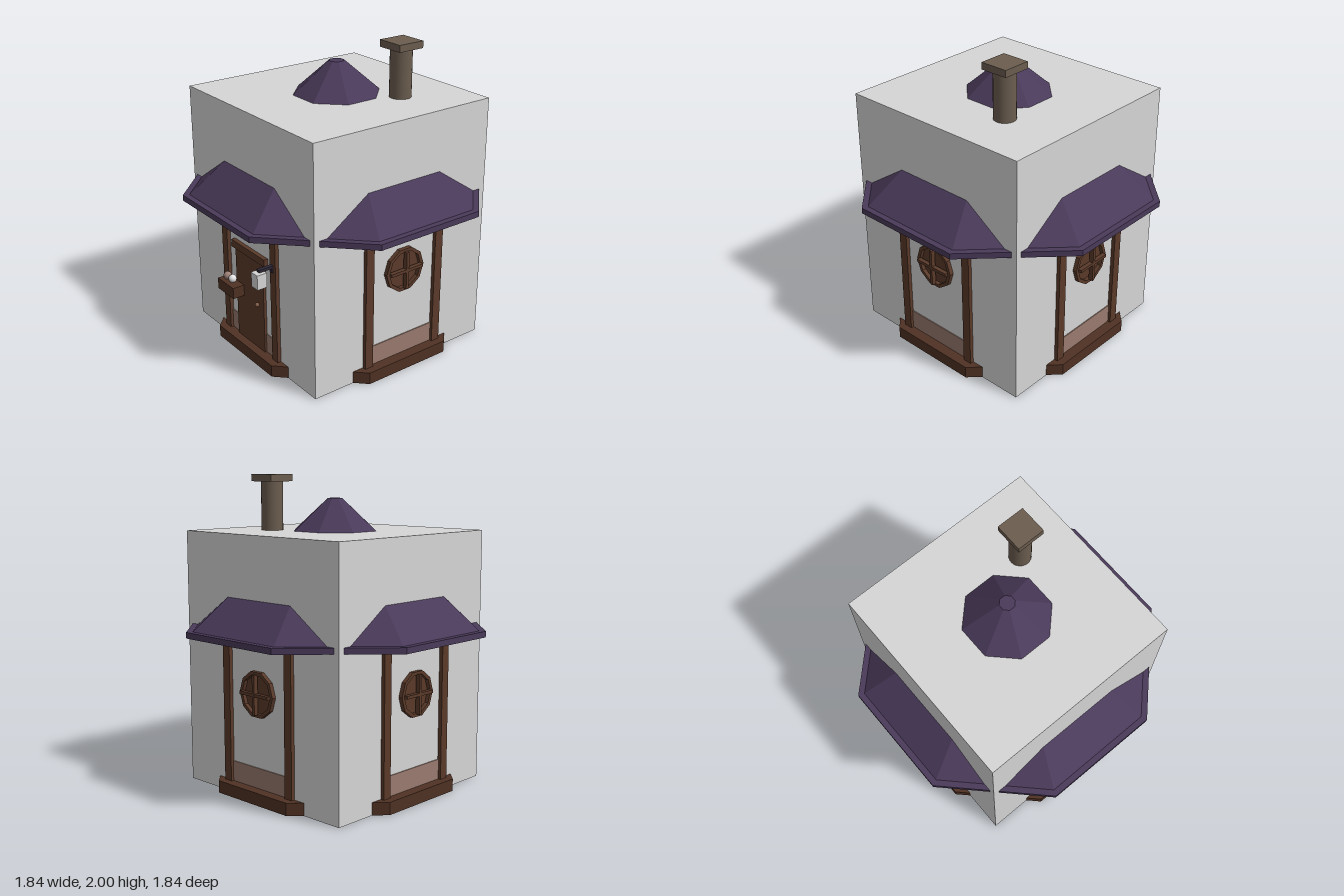
import * as THREE from 'three';

export function createModel() {
  const root = new THREE.Group();
  const mat = (name, color) => {
    const m = new THREE.MeshStandardMaterial({ color });
    m.name = name;
    return m;
  };
  const plaster = mat('pale plaster', 0xd6d6d6);
  const wood = mat('brown wood', 0x5a3a2a);
  const darkWood = mat('dark wood', 0x4f3123);
  const slate = mat('purple slate', 0x4a3a5a);
  const stone = mat('chimney stone', 0x6b5d4f);
  const skirting = mat('wainscot clay', 0x997a6e);
  const iron = mat('dark iron', 0x2e2838);
  const petal = mat('white petal', 0xe6e6e6);
  const blush = mat('dusty pink petal', 0x9c8078);
  const brass = mat('knob brass', 0x86614c);

  const add = (name, geo, material, x = 0, y = 0, z = 0, parent = root) => {
    const mesh = new THREE.Mesh(geo, material);
    mesh.name = name;
    mesh.position.set(x, y, z);
    parent.add(mesh);
    return mesh;
  };
  // box given by its min and max on each axis
  const box = (name, material, [x0, x1], [y0, y1], [z0, z1], parent = root) =>
    add(name, new THREE.BoxGeometry(x1 - x0, y1 - y0, z1 - z0), material,
      (x0 + x1) / 2, (y0 + y1) / 2, (z0 + z1) / 2, parent);
  // flat-faced octagonal frustum, sizes measured to the middle of a side
  const octagon = (name, material, top, bottom, y0, y1) => {
    const k = 1 / Math.cos(Math.PI / 8);
    const geo = new THREE.CylinderGeometry(top * k, bottom * k, y1 - y0, 8, 1, false, Math.PI / 8).toNonIndexed();
    geo.computeVertexNormals();
    return add(name, geo, material, 0, (y0 + y1) / 2, 0);
  };

  // Square body with octagonal plinth and wainscot
  box('body', plaster, [-0.67, 0.67], [0, 1.645], [-0.67, 0.67]);
  octagon('plinth', darkWood, 0.745, 0.745, 0.001, 0.08);
  octagon('wainscot', skirting, 0.676, 0.676, 0.08, 0.21);

  // Roof
  octagon('eave', slate, 0.92, 0.92, 1.01, 1.048);
  octagon('roof', slate, 0.045, 0.882, 1.048, 1.85);

  // Chimney
  add('chimney', new THREE.CylinderGeometry(0.07, 0.07, 0.36, 24), stone, 0.315, 1.78, -0.255);
  box('chimneyCap', stone, [0.222, 0.408], [1.955, 2], [-0.348, -0.162]);

  // A pair of posts on every side, and a round window on all but the front
  const ring = new THREE.Shape();
  const hole = new THREE.Path();
  for (let i = 0; i < 10; i++) {
    const a = (i / 10) * Math.PI * 2;
    const put = i ? 'lineTo' : 'moveTo';
    ring[put](Math.cos(a) * 0.148, Math.sin(a) * 0.148);
    hole[put](Math.cos(a) * 0.125, Math.sin(a) * 0.125);
  }
  ring.closePath();
  hole.closePath();
  ring.holes.push(hole);
  const ringGeo = new THREE.ExtrudeGeometry(ring, { depth: 0.03, bevelEnabled: false });
  const paneGeo = new THREE.CircleGeometry(0.13, 10);

  ['front', 'left', 'back', 'right'].forEach((side, i) => {
    const wall = new THREE.Group();
    wall.name = side + 'Side';
    wall.rotation.y = (i * Math.PI) / 2;
    root.add(wall);
    for (const s of [-1, 1]) {
      box('post', wood, [s * 0.275 - 0.03, s * 0.275 + 0.03], [0.08, 1.01], [0.64, 0.695], wall);
    }
    if (side === 'front') return;
    add('windowFrame', ringGeo, wood, 0, 0.68, 0.667, wall);
    add('windowPane', paneGeo, wood, 0, 0.68, 0.672, wall);
    box('windowBarVertical', wood, [-0.01, 0.01], [0.555, 0.805], [0.69, 0.72], wall);
    box('windowBarHorizontal', wood, [-0.125, 0.125], [0.67, 0.69], [0.69, 0.718], wall);
  });

  // Door
  box('door', wood, [-0.158, 0.155], [0.08, 0.705], [0.64, 0.689]);
  box('doorLintel', wood, [-0.19, 0.187], [0.702, 0.752], [0.64, 0.698]);
  add('doorKnob', new THREE.SphereGeometry(0.015, 12, 8), brass, 0.09, 0.4, 0.697);

  // Flower box
  box('flowerBox', darkWood, [-0.258, -0.072], [0.393, 0.468], [0.67, 0.77]);
  const flower = new THREE.SphereGeometry(0.027, 12, 8);
  add('pinkFlower', flower, blush, -0.218, 0.487, 0.72);
  add('whiteFlower', flower, petal, -0.162, 0.487, 0.717);

  // Hanging lantern
  box('lanternBracket', iron, [0.255, 0.282], [0.735, 0.752], [0.69, 0.795]);
  box('bracketPlate', iron, [0.255, 0.282], [0.705, 0.752], [0.69, 0.704]);
  box('lantern', plaster, [0.235, 0.302], [0.635, 0.732], [0.755, 0.823]);

  return root;
}
